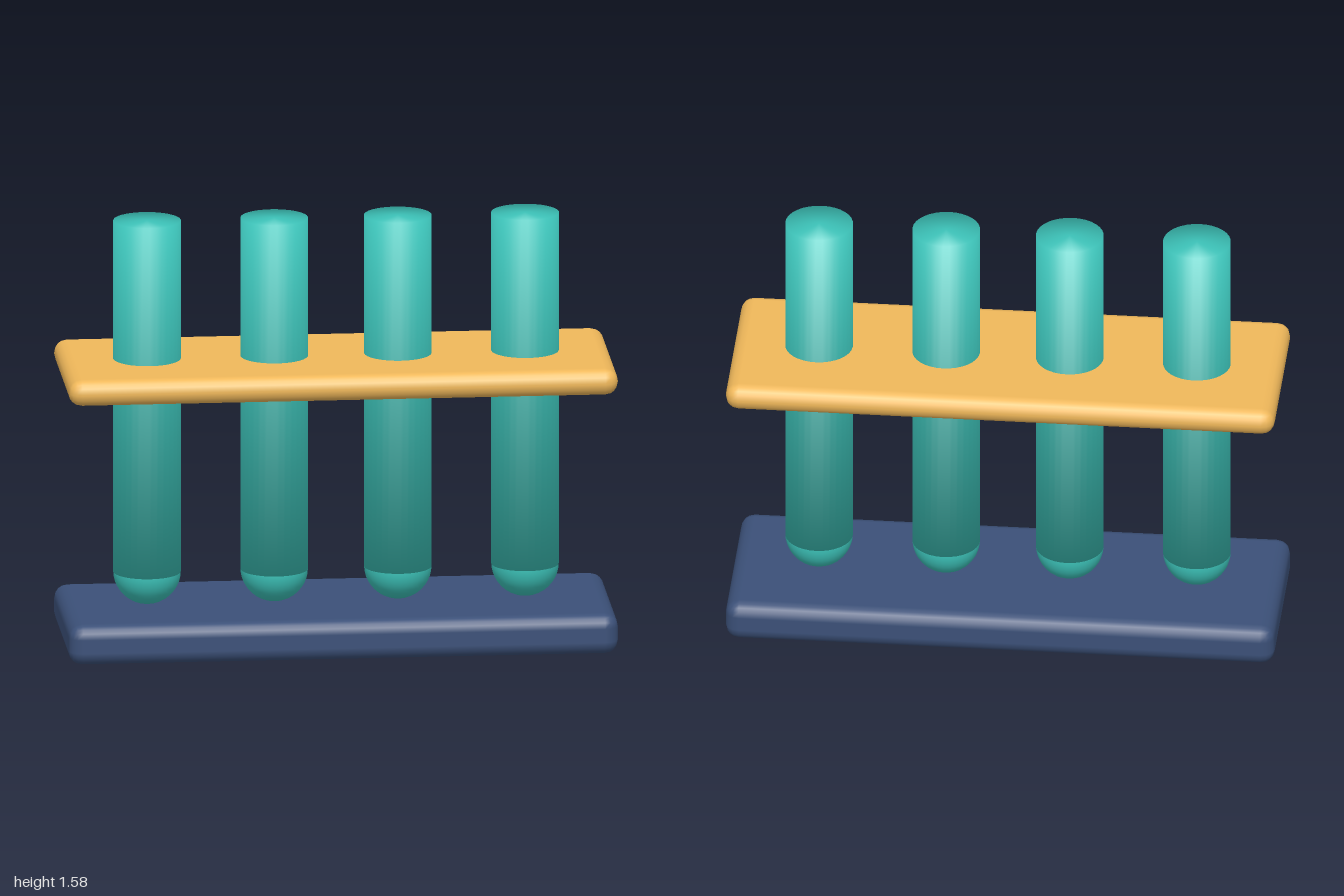
import * as THREE from 'three';
import { mergeVertices } from 'three/addons/utils/BufferGeometryUtils.js';
import { RoundedBoxGeometry } from 'three/addons/geometries/RoundedBoxGeometry.js';

const RADIUS = 0.123;
const TUBE_BOTTOM = 0.268;
const TUBE_TOP = 1.58;

function material(color) {
  return new THREE.MeshStandardMaterial({ color });
}

// Rounded slab spanning the given heights
function slab(name, bottom, top, bevel, color) {
  const geometry = new RoundedBoxGeometry(2, top - bottom, 0.69, 2, bevel);
  const mesh = new THREE.Mesh(geometry, material(color));
  mesh.name = name;
  mesh.position.y = (bottom + top) / 2;
  return mesh;
}

// Closed cylinder whose shading flows smoothly over the rims
function softCylinder(height) {
  let geometry = new THREE.CylinderGeometry(RADIUS, RADIUS, height, 32);
  geometry.deleteAttribute('normal');
  geometry.deleteAttribute('uv');
  geometry = mergeVertices(geometry);
  geometry.computeVertexNormals();
  const { position, normal } = geometry.attributes;
  const n = new THREE.Vector3();
  for (let i = 0; i < position.count; i++) {
    n.set(position.getX(i), Math.sign(position.getY(i)) * RADIUS, position.getZ(i)).normalize();
    normal.setXYZ(i, n.x, n.y, n.z);
  }
  return geometry;
}

export function createModel() {
  const model = new THREE.Group();
  model.name = 'testTubeRack';

  // Base and upper holding plate
  model.add(slab('base', 0, 0.15, 0.05, 0x3b5078));
  model.add(slab('holderPlate', 0.967, 1.065, 0.048, 0xf0b85a));

  // Four tubes with round bottoms
  const glass = material(0x3cc2b8);
  const bodyGeometry = softCylinder(TUBE_TOP - TUBE_BOTTOM);
  const endGeometry = new THREE.SphereGeometry(RADIUS, 32, 20);
  for (const x of [-0.688, -0.225, 0.225, 0.688]) {
    const tube = new THREE.Group();
    tube.name = 'testTube';
    tube.position.x = x;

    const body = new THREE.Mesh(bodyGeometry, glass);
    body.name = 'tubeBody';
    body.position.y = (TUBE_TOP + TUBE_BOTTOM) / 2;

    const end = new THREE.Mesh(endGeometry, glass);
    end.name = 'tubeRoundBottom';
    end.position.y = 0.272;

    tube.add(body, end);
    model.add(tube);
  }
  return model;
}
